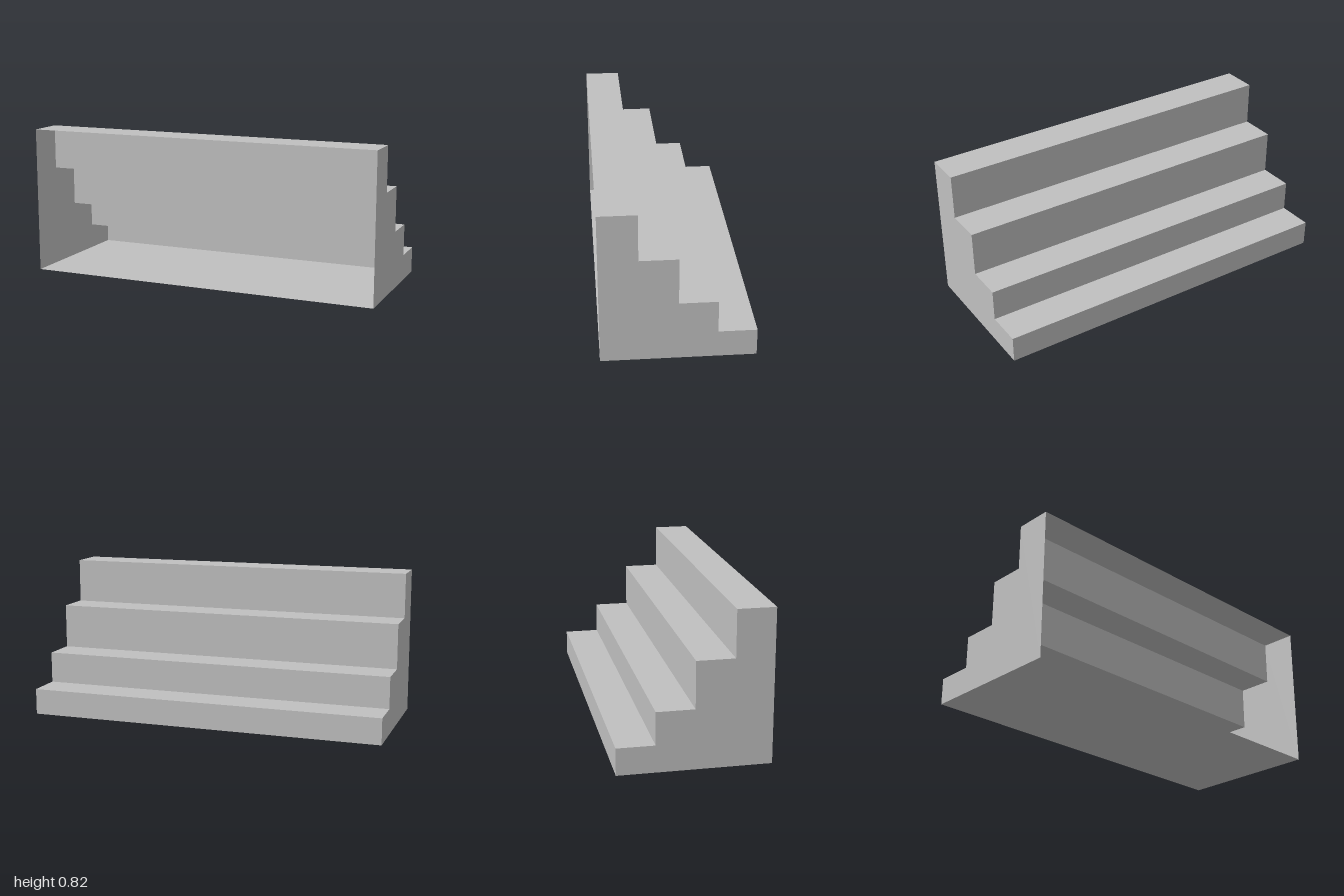
import * as THREE from 'three';

const grey = new THREE.MeshStandardMaterial({ color: 0xc0c0c0, side: THREE.DoubleSide });
grey.name = 'plain grey';

const WIDTH = 2;
const FRONT = 0.4;
const RUN = 0.2;
const HEIGHTS = [0.82, 0.57, 0.32, 0.145]; // tread heights, front to back

export function createModel() {
  const model = new THREE.Group();
  model.name = 'steps';

  const add = (name, geometry) => {
    const mesh = new THREE.Mesh(geometry, grey);
    mesh.name = name;
    model.add(mesh);
    return mesh;
  };

  // Thin horizontal sheet facing up or down
  const sheet = (name, depth, y, z, up) => {
    const geometry = new THREE.PlaneGeometry(WIDTH, depth);
    geometry.rotateX(up ? -Math.PI / 2 : Math.PI / 2);
    add(name, geometry).position.set(0, y, z);
  };

  // Treads and the risers behind them; the front stays open
  HEIGHTS.forEach((y, i) => {
    const next = HEIGHTS[i + 1] ?? 0;
    const z = FRONT - i * RUN;
    sheet(`tread${i + 1}`, RUN, y, z - RUN / 2, true);
    const riser = new THREE.PlaneGeometry(WIDTH, y - next).rotateY(Math.PI);
    add(`riser${i + 1}`, riser).position.set(0, (y + next) / 2, z - RUN);
  });

  // Floor
  sheet('floor', RUN * HEIGHTS.length, 0, 0, false);

  // Stepped side walls, drawn with shape x running along -z
  const profile = new THREE.Shape().moveTo(-FRONT, 0).lineTo(FRONT, 0);
  for (let i = HEIGHTS.length - 1; i >= 0; i--) {
    const z = FRONT - i * RUN;
    profile.lineTo(RUN - z, HEIGHTS[i]).lineTo(-z, HEIGHTS[i]);
  }
  const wall = new THREE.ShapeGeometry(profile).rotateY(Math.PI / 2);
  add('leftWall', wall).position.x = WIDTH / 2;

  // Mirror the wall so its front also faces outward
  const right = add('rightWall', wall);
  right.scale.x = -1;
  right.position.x = -WIDTH / 2;

  return model;
}
